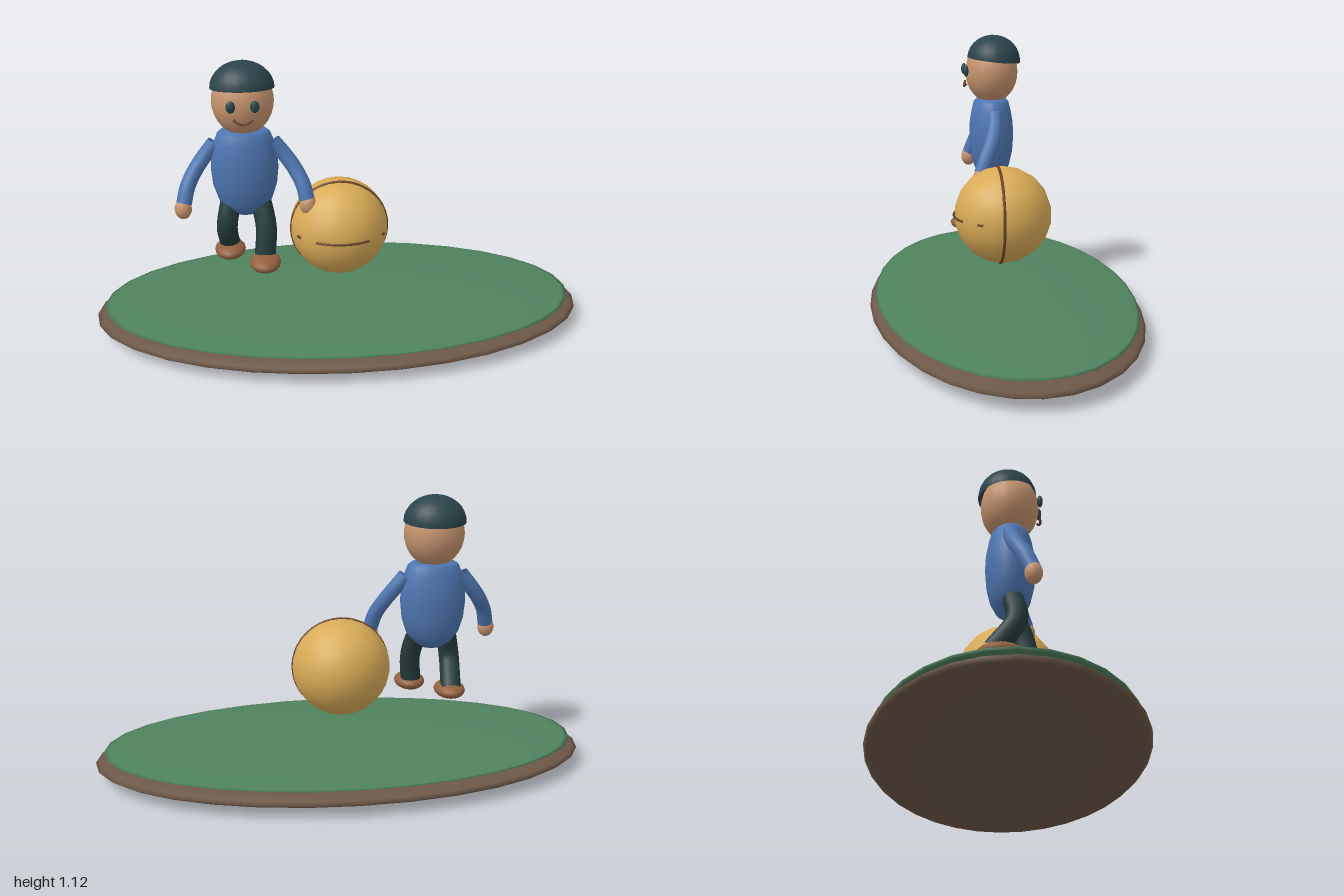
import * as THREE from 'three';

const mat = (name, color, side = THREE.FrontSide) => {
  const m = new THREE.MeshStandardMaterial({ color, side });
  m.name = name;
  return m;
};

export function createModel() {
  const root = new THREE.Group();
  root.name = 'figureWithBall';

  const earth = mat('earth brown', 0x6d5848);
  const grass = mat('grass green', 0x4f825e);
  const gold = mat('ball yellow', 0xd9ab57);
  const seam = mat('seam brown', 0x6b432a);
  const skin = mat('skin', 0xc6946e);
  const shirt = mat('shirt blue', 0x4e76b2, THREE.DoubleSide);
  const trouser = mat('trouser dark green', 0x253b3b);
  const dark = mat('cap dark teal', 0x2b444b, THREE.DoubleSide);
  const leather = mat('shoe brown', 0x93613f);

  const add = (parent, name, geometry, material, pos = [0, 0, 0]) => {
    const mesh = new THREE.Mesh(geometry, material);
    mesh.name = name;
    mesh.position.set(...pos);
    parent.add(mesh);
    return mesh;
  };
  const ellipsoid = (parent, name, material, pos, radii, w = 24, h = 16) => {
    const mesh = add(parent, name, new THREE.SphereGeometry(1, w, h), material, pos);
    mesh.scale.set(...radii);
    return mesh;
  };
  const tube = (parent, name, material, points, radius) => {
    const curve = new THREE.CatmullRomCurve3(points.map((p) => new THREE.Vector3(...p)));
    return add(parent, name, new THREE.TubeGeometry(curve, 14, radius, 12), material);
  };

  // Oval ground: an earth lens with a thinner grass lens on top
  ellipsoid(root, 'groundBase', earth, [0, 0.06, 0], [1, 0.058, 0.545], 32, 16);
  ellipsoid(root, 'grassTop', grass, [0, 0.105, 0], [0.965, 0.018, 0.522], 32, 16);

  // Ball with one full seam and a broken front seam
  const ball = new THREE.Group();
  ball.name = 'ball';
  ball.position.set(0, 0.425, 0);
  root.add(ball);
  const shell = add(ball, 'ballShell', new THREE.SphereGeometry(0.198, 18, 14), gold);
  shell.rotation.z = Math.PI / 2;
  add(ball, 'verticalSeam', new THREE.TorusGeometry(0.195, 0.006, 8, 40), seam, [0, 0, 0.018]);
  for (const [start, arc] of [[0.52, 0.13], [1.02, 1.1], [2.49, 0.13]]) {
    const dash = add(ball, 'frontSeam', new THREE.TorusGeometry(0.2, 0.005, 8, 12, arc), seam);
    dash.geometry.rotateZ(start);
    dash.rotation.x = Math.PI / 2;
  }

  // Figure, built around its own centre line
  const figure = new THREE.Group();
  figure.name = 'figure';
  figure.position.x = -0.375;
  root.add(figure);

  // Torso
  const profile = [
    [0, 0.49], [0.04, 0.495], [0.08, 0.52], [0.108, 0.56], [0.127, 0.62], [0.134, 0.69],
    [0.13, 0.75], [0.118, 0.8], [0.105, 0.835], [0.09, 0.848], [0, 0.852],
  ].map(([r, y]) => new THREE.Vector2(r, y));
  add(figure, 'torso', new THREE.LatheGeometry(profile, 24), shirt).scale.z = 0.71;

  // Head, cap and face
  ellipsoid(figure, 'head', skin, [0, 0.965, -0.002], [0.122, 0.135, 0.112]);
  const cap = add(figure, 'cap',
    new THREE.SphereGeometry(1, 24, 8, 0, Math.PI * 2, 0, Math.PI / 2), dark, [0, 1.014, -0.011]);
  cap.scale.set(0.126, 0.106, 0.114);
  cap.rotation.x = -0.11;
  for (const s of [-1, 1]) {
    ellipsoid(figure, 'eye', dark, [s * 0.046, 0.973, 0.113], [0.018, 0.024, 0.011], 16, 12);
  }
  tube(figure, 'mouth', seam,
    [[-0.036, 0.921, 0.108], [-0.02, 0.909, 0.114], [0, 0.904, 0.116], [0.02, 0.909, 0.114], [0.036, 0.921, 0.108]], 0.005);

  // Arms, hands, legs and shoes; the left leg steps forward
  for (const s of [-1, 1]) {
    tube(figure, 'arm', shirt,
      [[s * 0.115, 0.795, -0.002], [s * 0.155, 0.745, 0.003], [s * 0.195, 0.69, 0.02], [s * 0.227, 0.63, 0.048], [s * 0.242, 0.57, 0.07]], 0.031);
    ellipsoid(figure, 'hand', skin, [s * 0.246, 0.55, 0.074], [0.034, 0.042, 0.033], 16, 12);

    const knee = s > 0 ? 0.05 : 0.02;
    const foot = s > 0 ? 0.075 : -0.065;
    tube(figure, 'leg', trouser,
      [[s * 0.055, 0.57, 0], [s * 0.078, 0.45, knee], [s * 0.07, 0.33, foot]], 0.042);
    ellipsoid(figure, 'shoe', leather, [s * 0.07, 0.32, foot + 0.027], [0.063, 0.034, 0.085], 18, 12);
  }

  return root;
}
